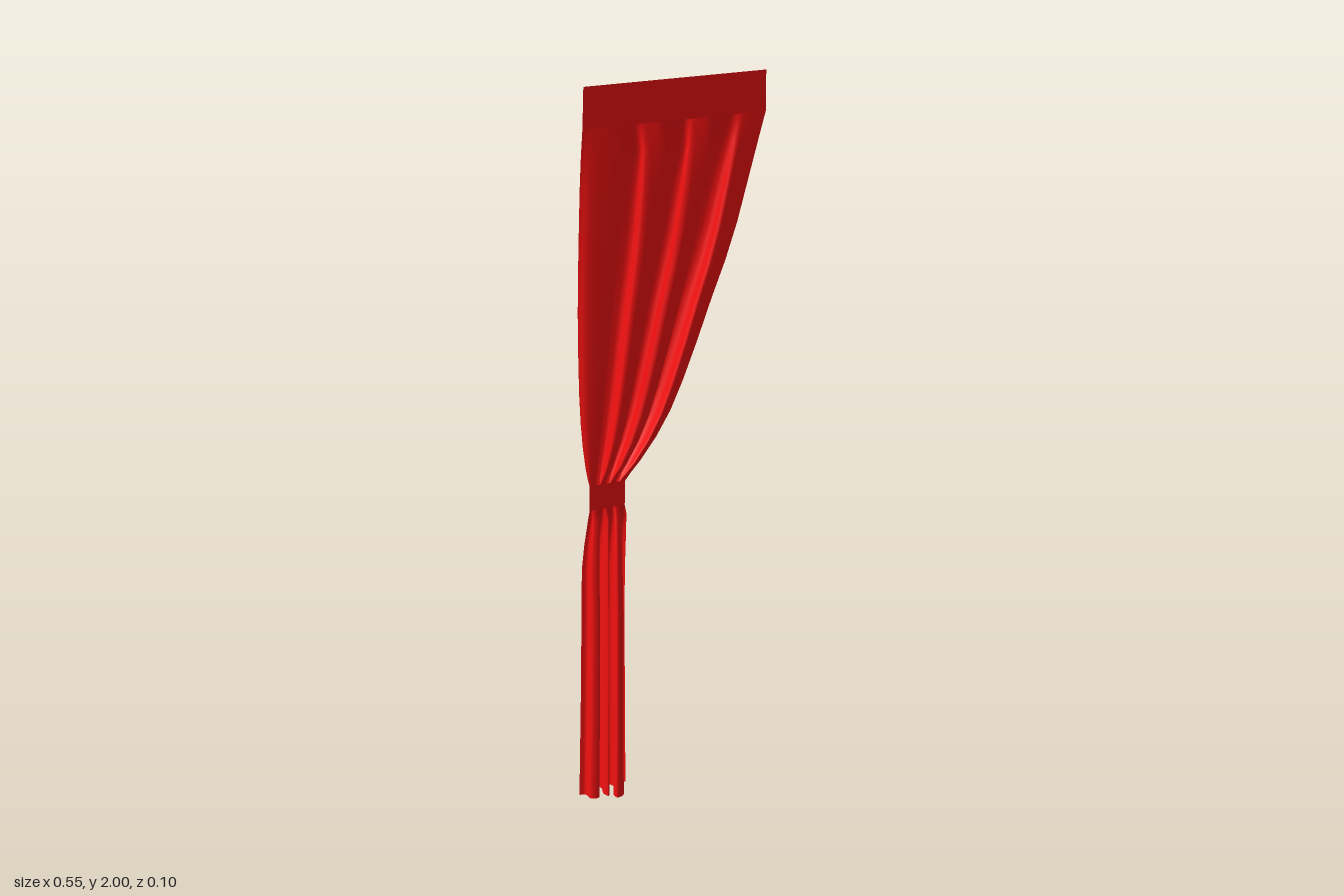
import * as THREE from 'three';

const COLUMNS = 110;

// Smooth pleat line across the cloth: [position 0..1 from edge to edge, depth]
function pleatLine(points) {
  const curve = new THREE.CatmullRomCurve3(points.map(([u, z]) => new THREE.Vector3(u, 0, z)), false, 'centripetal');
  return Array.from({ length: COLUMNS + 1 }, (_, i) => curve.getPoint(i / COLUMNS));
}

// Loft cloth through rows of [y, left x, right x, pleat depth 0..1]
function cloth(name, rows, line, depth, material) {
  const positions = [], index = [];
  rows.forEach(([y, left, right, fold], r) => {
    line.forEach((p, i) => {
      const u = THREE.MathUtils.lerp(i / COLUMNS, p.x, Math.sqrt(fold));
      positions.push(THREE.MathUtils.lerp(left, right, u), y, p.z * fold * depth);
      if (r < rows.length - 1 && i < COLUMNS) {
        const a = r * (COLUMNS + 1) + i, b = a + COLUMNS + 1;
        index.push(a, b, a + 1, b, b + 1, a + 1);
      }
    });
  });
  const geometry = new THREE.BufferGeometry();
  geometry.setAttribute('position', new THREE.Float32BufferAttribute(positions, 3));
  geometry.setIndex(index);
  geometry.computeVertexNormals();
  const mesh = new THREE.Mesh(geometry, material);
  mesh.name = name;
  return mesh;
}

export function createModel() {
  const group = new THREE.Group();
  group.name = 'tiedCurtain';
  const red = new THREE.MeshStandardMaterial({ color: 0xf01010, side: THREE.DoubleSide });

  // Shallow pleats of the swept upper part
  const upperLine = pleatLine([
    [0, -0.2], [0.08, 0.25], [0.2, 0.3], [0.26, -0.8], [0.33, -0.7], [0.38, 0.9], [0.46, 0.8],
    [0.5, -0.9], [0.57, -0.9], [0.62, 1], [0.7, 0.9], [0.74, -0.95], [0.81, -0.85],
    [0.87, 0.75], [0.93, 0.4], [1, 0],
  ]);
  // Deep looping folds of the hanging lower part
  const lowerLine = pleatLine([
    [0, -0.24], [0.1, -0.16], [0.15, 0.44], [0.26, 0.54], [0.33, 0.24], [0.25, -0.4], [0.28, -0.96],
    [0.42, -0.92], [0.48, -0.4], [0.43, 0.2], [0.48, 0.56], [0.54, 0.2], [0.55, -0.6], [0.65, -0.76],
    [0.72, -0.4], [0.58, 0.6], [0.62, 0.96], [0.75, 0.8], [0.75, 0.2], [0.73, -0.6],
    [0.82, -1], [0.92, -0.92], [1, -0.6],
  ]);

  // Flat heading along the top
  group.add(cloth('heading', [[2, -0.245, 0.275, 0], [1.89, -0.249, 0.275, 0]], upperLine, 0.03, red));

  // Cloth sweeping down into the tie
  group.add(cloth('upperDrape', [
    [1.89, -0.249, 0.275, 0],
    [1.82, -0.253, 0.255, 0.45],
    [1.73, -0.257, 0.23, 0.7],
    [1.6, -0.261, 0.194, 0.9],
    [1.5, -0.264, 0.16, 0.96],
    [1.4, -0.266, 0.12, 1],
    [1.28, -0.266, 0.075, 1],
    [1.18, -0.265, 0.035, 0.95],
    [1.1, -0.262, -0.002, 0.85],
    [1.03, -0.257, -0.045, 0.72],
    [0.97, -0.25, -0.092, 0.5],
    [0.94, -0.245, -0.12, 0.25],
    [0.92, -0.241, -0.136, 0],
  ], upperLine, 0.03, red));

  // Flat gathered waist
  group.add(cloth('tie', [[0.92, -0.241, -0.136, 0], [0.85, -0.241, -0.138, 0]], lowerLine, 0.05, red));

  // Cloth hanging below the tie
  group.add(cloth('lowerDrape', [
    [0.85, -0.241, -0.138, 0],
    [0.82, -0.245, -0.129, 0.3],
    [0.75, -0.255, -0.127, 0.6],
    [0.68, -0.262, -0.127, 0.8],
    [0.54, -0.264, -0.128, 0.96],
    [0.3, -0.269, -0.128, 0.98],
    [0, -0.277, -0.128, 1],
  ], lowerLine, 0.05, red));

  return group;
}
